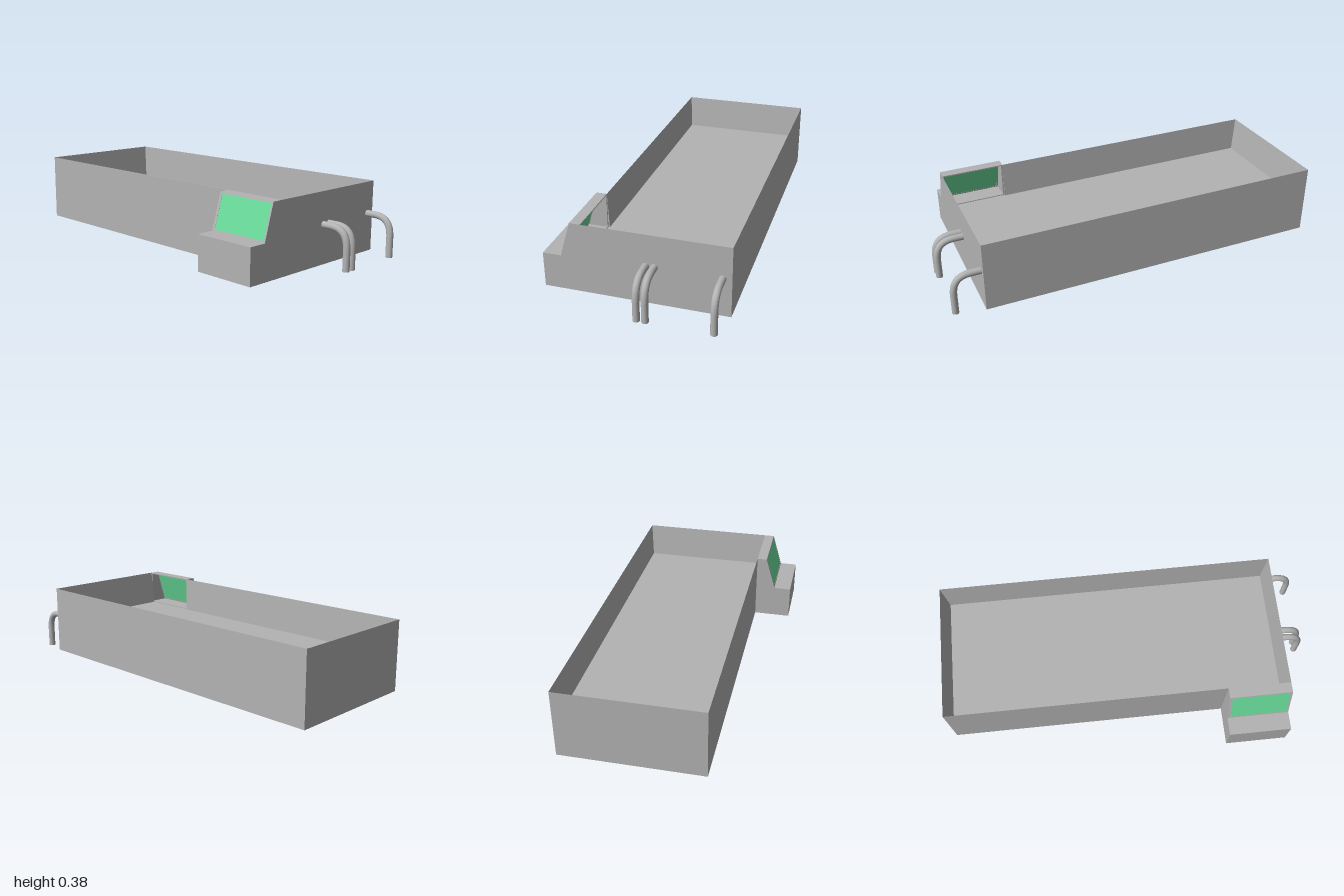
import * as THREE from 'three';

const bodyGrey = new THREE.MeshStandardMaterial({ color: 0xb3b3b3 });
bodyGrey.name = 'bodyGrey';
const glassGreen = new THREE.MeshStandardMaterial({ color: 0x6adc9b });
glassGreen.name = 'glassGreen';

// Main dimensions
const LEFT = 0.84, RIGHT = -1, BACK = -0.47, FRONT = 0.265;
const BASE = 0.005, FLOOR = 0.185, RIM = 0.375;
const CAB_X = 0.505, CAB_FRONT = 0.47, LEDGE = 0.19;
const SILL_Z = 0.375, ROOF_Z = 0.32;

function add(parent, name, geometry, material = bodyGrey) {
  const mesh = new THREE.Mesh(geometry, material);
  mesh.name = name;
  parent.add(mesh);
  return mesh;
}

// Box given by its lower and upper corners
function block(parent, name, a, b) {
  const size = b.map((v, i) => v - a[i]);
  const mesh = add(parent, name, new THREE.BoxGeometry(...size));
  mesh.position.set(...b.map((v, i) => (v + a[i]) / 2));
  return mesh;
}

function extrude(points, depth, hole) {
  const shape = new THREE.Shape(points.map(p => new THREE.Vector2(...p)));
  if (hole) shape.holes.push(new THREE.Path(hole.map(p => new THREE.Vector2(...p))));
  return new THREE.ExtrudeGeometry(shape, { depth, bevelEnabled: false });
}

// Wall that thins to a sharp edge at the rim
function wall(parent, name, thickness, length, x, z, turn) {
  const geometry = extrude([[0, 0], [thickness, 0], [0, RIM - FLOOR]], length);
  const mesh = add(parent, name, geometry);
  mesh.position.set(x, FLOOR, z);
  mesh.rotation.y = turn;
}

function makeTank() {
  const tank = new THREE.Group();
  tank.name = 'tank';
  block(tank, 'tankBase', [RIGHT, BASE, BACK], [LEFT, FLOOR, FRONT]);
  wall(tank, 'rightWall', 0.02, FRONT - BACK, RIGHT, BACK, 0);
  wall(tank, 'leftWall', 0.02, FRONT - BACK, LEFT, FRONT, Math.PI);
  wall(tank, 'backWall', 0.01, LEFT - RIGHT, LEFT, BACK, -Math.PI / 2);
  wall(tank, 'frontWall', 0.008, CAB_X - RIGHT, RIGHT, FRONT, Math.PI / 2);
  return tank;
}

// Hollow control bay, open to the tank at its back
function makeBay() {
  const bay = new THREE.Group();
  bay.name = 'controlBay';
  block(bay, 'bayBase', [CAB_X, BASE, FRONT], [LEFT, LEDGE, CAB_FRONT]);
  block(bay, 'bayRoof', [CAB_X, RIM - 0.006, FRONT], [LEFT, RIM, ROOF_Z]);

  // Side panels with the sloped front edge
  const profile = [[FRONT, FLOOR], [SILL_Z, FLOOR], [SILL_Z, LEDGE], [ROOF_Z, RIM], [FRONT, RIM]];
  for (const [name, x] of [['bayLeftPanel', LEFT], ['bayRightPanel', CAB_X + 0.008]]) {
    const panel = add(bay, name, extrude(profile, 0.008));
    panel.rotation.y = -Math.PI / 2;
    panel.position.x = x;
  }

  // Sloped window frame and its pane
  const slope = new THREE.Group();
  slope.name = 'slopedWindow';
  const w = LEFT - CAB_X, h = Math.hypot(RIM - LEDGE, SILL_Z - ROOF_Z);
  const x0 = 0.014, x1 = w - 0.01, y0 = 0.009, y1 = h - 0.008;
  const frame = add(slope, 'windowFrame', extrude(
    [[0, 0], [w, 0], [w, h], [0, h]], 0.007,
    [[x0, y0], [x0, y1], [x1, y1], [x1, y0]]));
  frame.position.z = -0.007;
  const pane = add(slope, 'windowPane', new THREE.BoxGeometry(x1 - x0, y1 - y0, 0.005), glassGreen);
  pane.position.set((x0 + x1) / 2, (y0 + y1) / 2, -0.0035);
  slope.position.set(CAB_X, LEDGE, SILL_Z);
  slope.rotation.x = -Math.atan2(SILL_Z - ROOF_Z, RIM - LEDGE);
  bay.add(slope);
  return bay;
}

// Bent pipe from the left wall down to the ground
function makePipe(z) {
  const pipe = new THREE.Group();
  pipe.name = 'pipe';
  const radius = 0.0175, top = 0.208, out = 0.982;
  const path = new THREE.CurvePath();
  const v = (x, y) => new THREE.Vector3(x, y, 0);
  path.add(new THREE.LineCurve3(v(0.83, top), v(0.885, top)));
  path.add(new THREE.CubicBezierCurve3(v(0.885, top), v(0.95, top), v(out, 0.18), v(out, 0.1)));
  path.add(new THREE.LineCurve3(v(out, 0.1), v(out, 0)));
  add(pipe, 'pipeTube', new THREE.TubeGeometry(path, 28, radius, 20));
  const end = add(pipe, 'pipeEnd', new THREE.CircleGeometry(radius, 20));
  end.rotation.x = Math.PI / 2;
  end.position.x = out;
  pipe.position.z = z;
  return pipe;
}

export function createModel() {
  const model = new THREE.Group();
  model.name = 'tankWithControlBay';
  model.add(makeTank(), makeBay());
  for (const z of [-0.055, -0.098, -0.425]) model.add(makePipe(z));
  return model;
}
